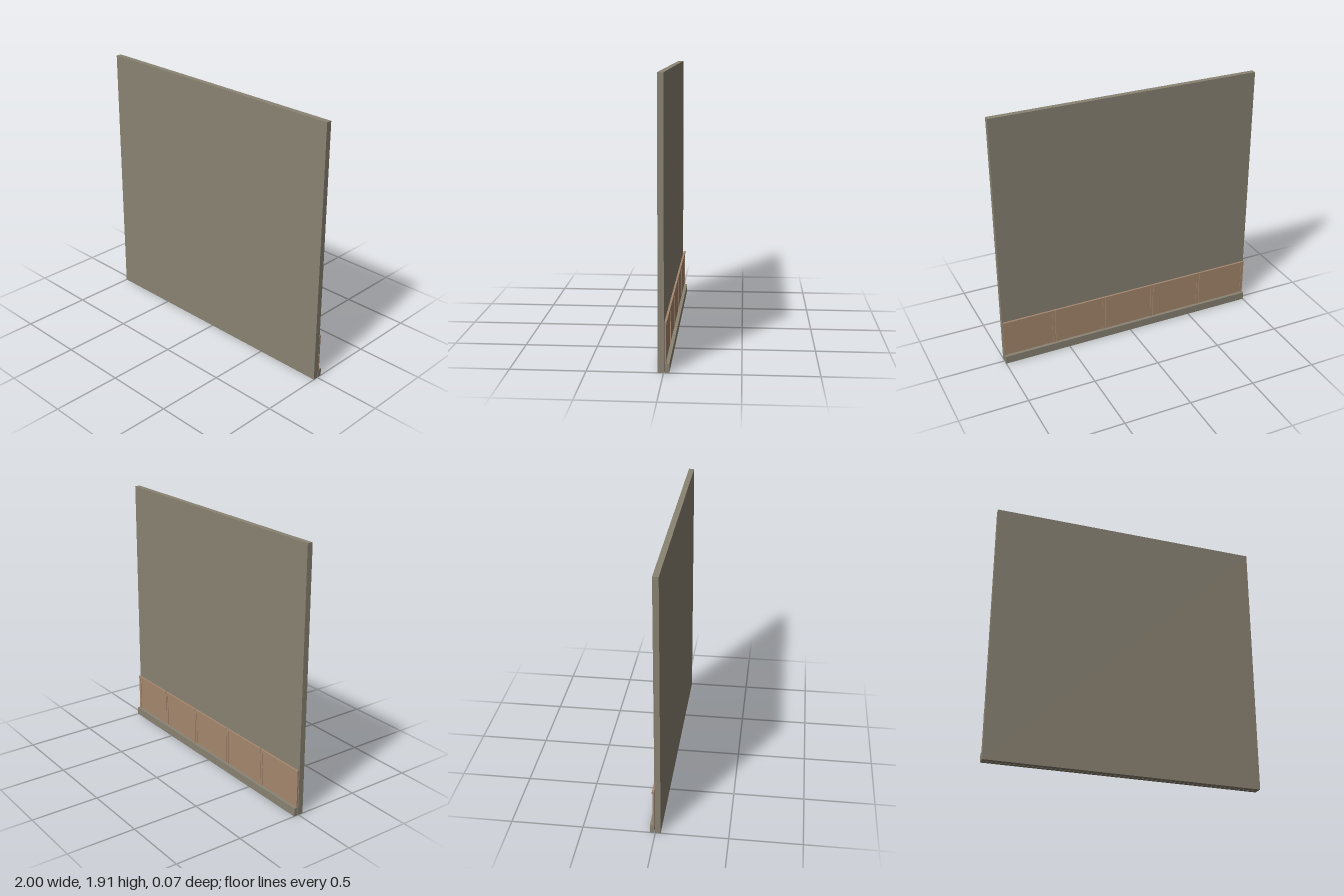
import * as THREE from 'three';

const wallGrey = new THREE.MeshStandardMaterial({ name: 'warmGrey', color: 0x8a8373 });
const woodBrown = new THREE.MeshStandardMaterial({ name: 'woodBrown', color: 0xa6886f });

// Box given by its minimum and maximum corners
function slab(name, material, [x0, y0, z0], [x1, y1, z1]) {
  const mesh = new THREE.Mesh(new THREE.BoxGeometry(x1 - x0, y1 - y0, z1 - z0), material);
  mesh.position.set((x0 + x1) / 2, (y0 + y1) / 2, (z0 + z1) / 2);
  mesh.name = name;
  return mesh;
}

// One wainscot bay: recessed panel, two stiles and a top rail
function wainscotBay(width) {
  const bay = new THREE.Group();
  bay.name = 'wainscotBay';
  const h = width / 2 - 0.002;
  const stile = 0.02;
  bay.add(slab('panel', woodBrown, [-h + stile, 0.03, -0.013], [h - stile, 0.325, -0.007]));
  for (const side of [-1, 1]) {
    const a = side * h, b = side * (h - stile);
    bay.add(slab('stile', woodBrown, [Math.min(a, b), 0.03, -0.017], [Math.max(a, b), 0.325, -0.007]));
  }
  bay.add(slab('topRail', woodBrown, [-h, 0.322, -0.021], [h, 0.34, -0.007]));
  return bay;
}

export function createModel() {
  const model = new THREE.Group();
  model.name = 'wallSection';

  model.add(slab('wall', wallGrey, [-1, 0, -0.003], [1, 1.91, 0.037]));
  model.add(slab('skirting', wallGrey, [-1, 0, -0.037], [1, 0.06, -0.008]));

  // Five equal bays along the back of the wall
  const bays = 5, width = 2 / bays;
  for (let i = 0; i < bays; i++) {
    const bay = wainscotBay(width);
    bay.position.x = -1 + width * (i + 0.5);
    model.add(bay);
  }
  return model;
}
